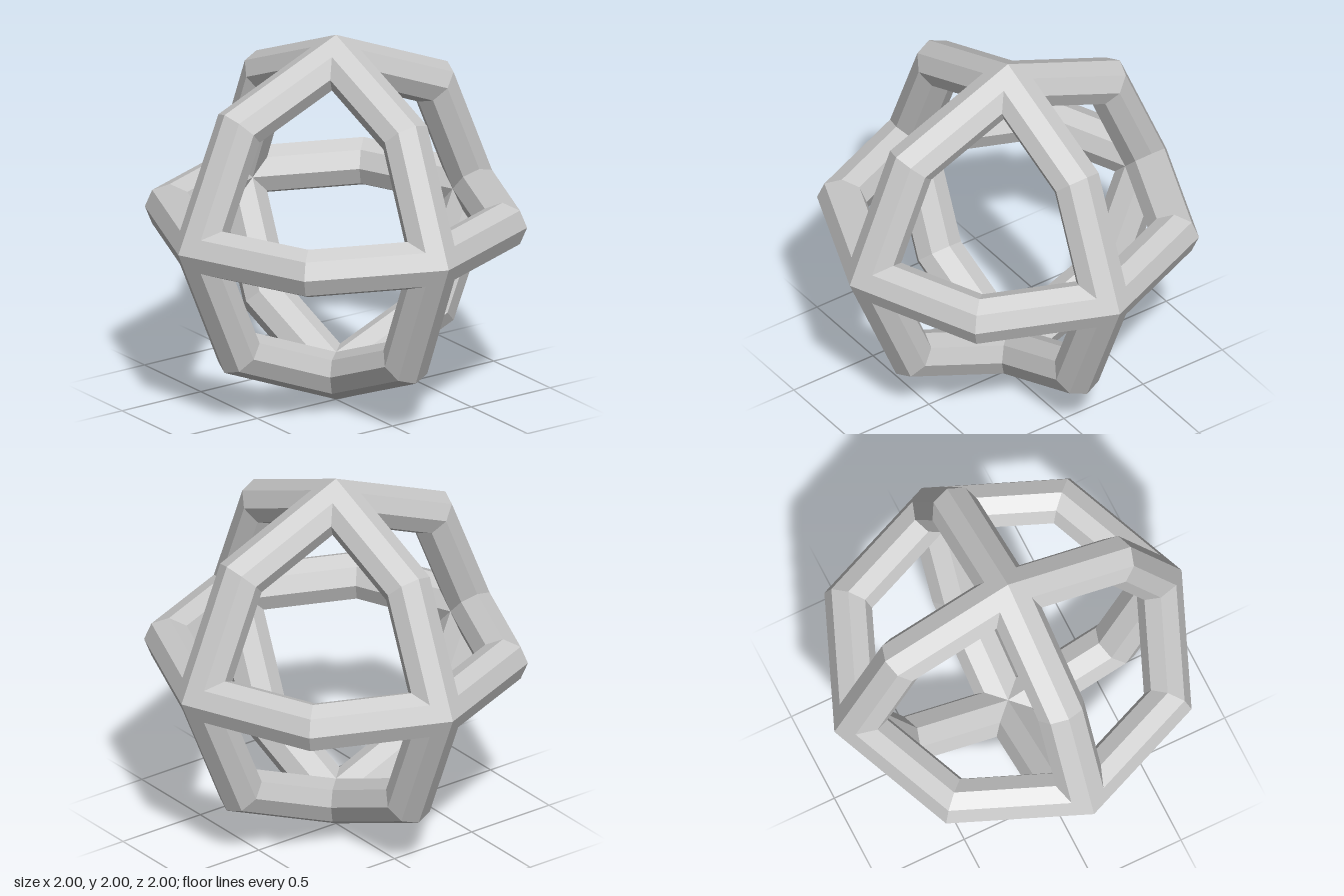
import * as THREE from 'three';

export function createModel() {
  const group = new THREE.Group();
  group.name = 'interlockedRings';

  const material = new THREE.MeshStandardMaterial({ color: 0xcccccc, flatShading: true });

  // Eight-sided ring with an eight-sided bar; the outer ridge reaches radius 1
  const tube = 0.13;
  const ringGeometry = new THREE.TorusGeometry(1 - tube, tube, 8, 8);

  // One ring in each main plane, sharing corners on the axes
  const rings = [
    ['frontRing', 0, 0],
    ['sideRing', 0, Math.PI / 2],
    ['levelRing', Math.PI / 2, 0],
  ];
  for (const [name, rx, ry] of rings) {
    const ring = new THREE.Mesh(ringGeometry, material);
    ring.name = name;
    ring.rotation.set(rx, ry, 0);
    ring.position.y = 1;
    group.add(ring);
  }
  return group;
}
